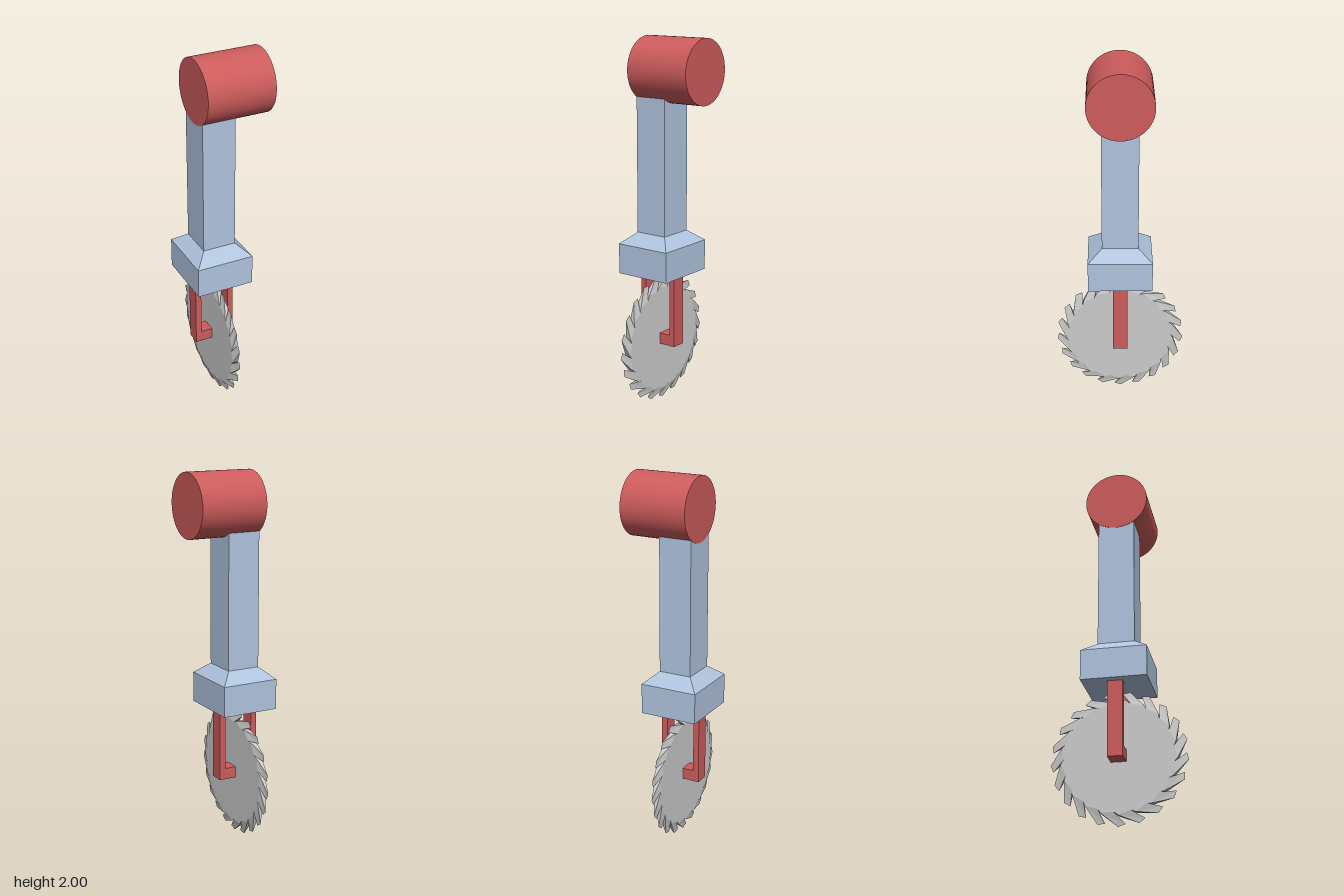
import * as THREE from 'three';

const AXIS_X = -0.062; // shared centre line of arm, collar, fork and blade

const paint = (color, flatShading = false) => new THREE.MeshStandardMaterial({ color, flatShading });

function add(parent, name, geometry, material, x, y, z = 0) {
  const mesh = new THREE.Mesh(geometry, material);
  mesh.name = name;
  mesh.position.set(x, y, z);
  parent.add(mesh);
  return mesh;
}

// Box whose top face has its own width and depth
function taperedBox(w, h, d, topW, topD) {
  const g = new THREE.BoxGeometry(w, h, d).toNonIndexed();
  const p = g.attributes.position;
  for (let i = 0; i < p.count; i++) {
    if (p.getY(i) > 0) {
      p.setX(i, Math.sign(p.getX(i)) * topW / 2);
      p.setZ(i, Math.sign(p.getZ(i)) * topD / 2);
    }
  }
  g.computeVertexNormals();
  return g;
}

// Flat disc with raked teeth that narrow to a sharp edge on the middle plane
function sawBlade(teeth, half) {
  const pos = [];
  const step = 360 / teeth;
  const point = (deg, r, x) => {
    const a = THREE.MathUtils.degToRad(deg);
    return [x, r * Math.cos(a), -r * Math.sin(a)];
  };
  const tri = (a, b, c) => pos.push(...a, ...b, ...c);
  const quad = (a, b, c, d) => { tri(a, b, c); tri(a, c, d); };
  for (let i = 0; i < teeth; i++) {
    const t = i * step + 8;
    const backTip = point(t + 17, 0.357, 0);
    const frontTip = point(t + 23, 0.345, 0);
    const roots = [half, -half].map((x) => ({
      x,
      back: point(t, 0.3, x),
      front: point(t + 13, 0.285, x),
      next: point(t + step, 0.3, x),
    }));
    const [l, r] = roots;
    // Both cheeks: disc sectors and tooth faces
    const centreL = [half, 0, 0], centreR = [-half, 0, 0];
    tri(centreL, l.front, l.back);
    tri(centreL, l.next, l.front);
    tri(centreR, r.back, r.front);
    tri(centreR, r.front, r.next);
    quad(l.back, l.front, frontTip, backTip);
    quad(r.back, backTip, frontTip, r.front);
    // Tooth flanks and gullet floor
    tri(l.back, backTip, r.back);
    tri(l.front, r.front, frontTip);
    quad(l.front, l.next, r.next, r.front);
  }
  const g = new THREE.BufferGeometry();
  g.setAttribute('position', new THREE.Float32BufferAttribute(pos, 3));
  g.computeVertexNormals();
  return g;
}

export function createModel() {
  const model = new THREE.Group();
  model.name = 'sawArm';
  const red = paint(0xcd5c5c);
  const blue = paint(0xb0c4de);
  const blueFlat = paint(0xb0c4de, true);
  const steel = paint(0xcccccc, true);

  // Shoulder drum lying along x
  const drum = new THREE.CylinderGeometry(0.171, 0.171, 0.372, 64);
  drum.rotateZ(Math.PI / 2);
  add(model, 'shoulderDrum', drum, red, 0.033, 1.829);

  // Square arm, sunk into the underside of the drum
  add(model, 'arm', new THREE.BoxGeometry(0.182, 0.78, 0.196), blue, AXIS_X + 0.002, 1.33);

  // Collar with a sloped shoulder
  const collar = new THREE.Group();
  collar.name = 'collar';
  model.add(collar);
  add(collar, 'collarBlock', new THREE.BoxGeometry(0.318, 0.165, 0.348), blue, AXIS_X + 0.002, 0.8175);
  add(collar, 'collarSlope', taperedBox(0.318, 0.06, 0.348, 0.182, 0.196), blueFlat, AXIS_X + 0.002, 0.93);

  // Fork: two legs joined by the axle bar through the blade
  const fork = new THREE.Group();
  fork.name = 'fork';
  model.add(fork);
  for (const [name, side] of [['forkLegRight', -1], ['forkLegLeft', 1]]) {
    add(fork, name, new THREE.BoxGeometry(0.033, 0.41, 0.08), red, AXIS_X + side * 0.0965, 0.535);
  }
  add(fork, 'axleBar', new THREE.BoxGeometry(0.16, 0.062, 0.08), red, AXIS_X, 0.361);

  // Circular saw blade
  add(model, 'sawBlade', sawBlade(21, 0.0165), steel, AXIS_X, 0.358);

  return model;
}
